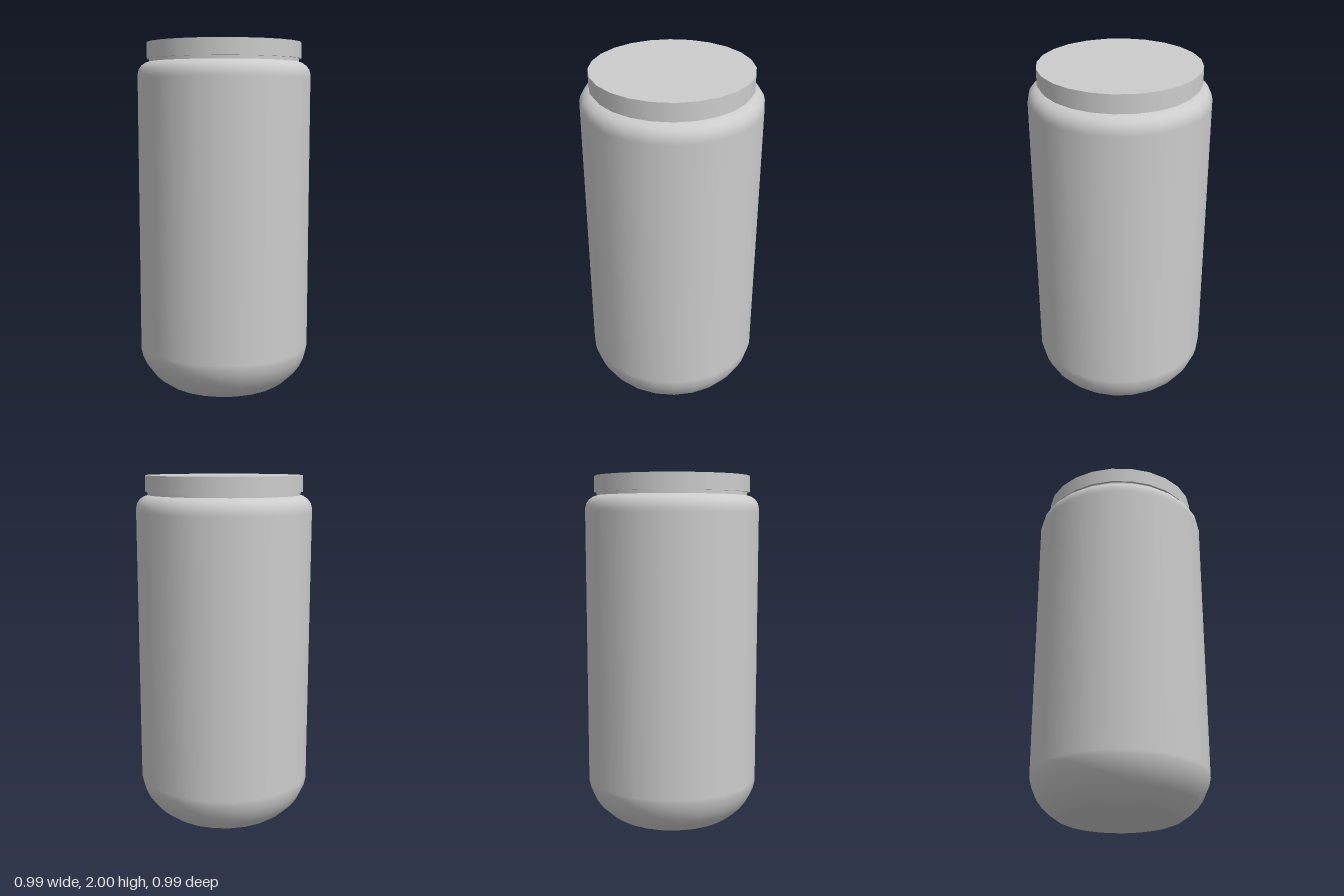
import * as THREE from 'three';

const SIDES = 24;

export function createModel() {
  const model = new THREE.Group();
  const grey = new THREE.MeshStandardMaterial({ color: 0xcccccc });
  grey.name = 'light grey';

  const add = (name, geometry, y = 0) => {
    const mesh = new THREE.Mesh(geometry, grey);
    mesh.name = name;
    mesh.position.y = y;
    model.add(mesh);
  };

  // Jar body: nearly flat base, large bottom curve, straight wall, tight shoulder
  const profile = [[0, 0], [0.29, 0.008], [0.325, 0.015]];
  for (const [x, y] of [
    [0.35, 0.025], [0.39, 0.053], [0.43, 0.091], [0.462, 0.135], [0.485, 0.185],
    [0.495, 0.23], [0.495, 0.25], [0.495, 1.8], [0.495, 1.82], [0.488, 1.848],
    [0.472, 1.87], [0.45, 1.885], [0.425, 1.893], [0.4, 1.895],
  ]) profile.push([x, y]);
  add('body', new THREE.LatheGeometry(profile.map(([x, y]) => new THREE.Vector2(x, y)), SIDES));

  // Short neck showing as a groove under the lid
  add('neck', new THREE.CylinderGeometry(0.428, 0.428, 0.05, SIDES, 1, true), 1.9);

  // Flat lid
  add('lid', new THREE.CylinderGeometry(0.442, 0.442, 0.09, SIDES), 1.955);

  return model;
}
